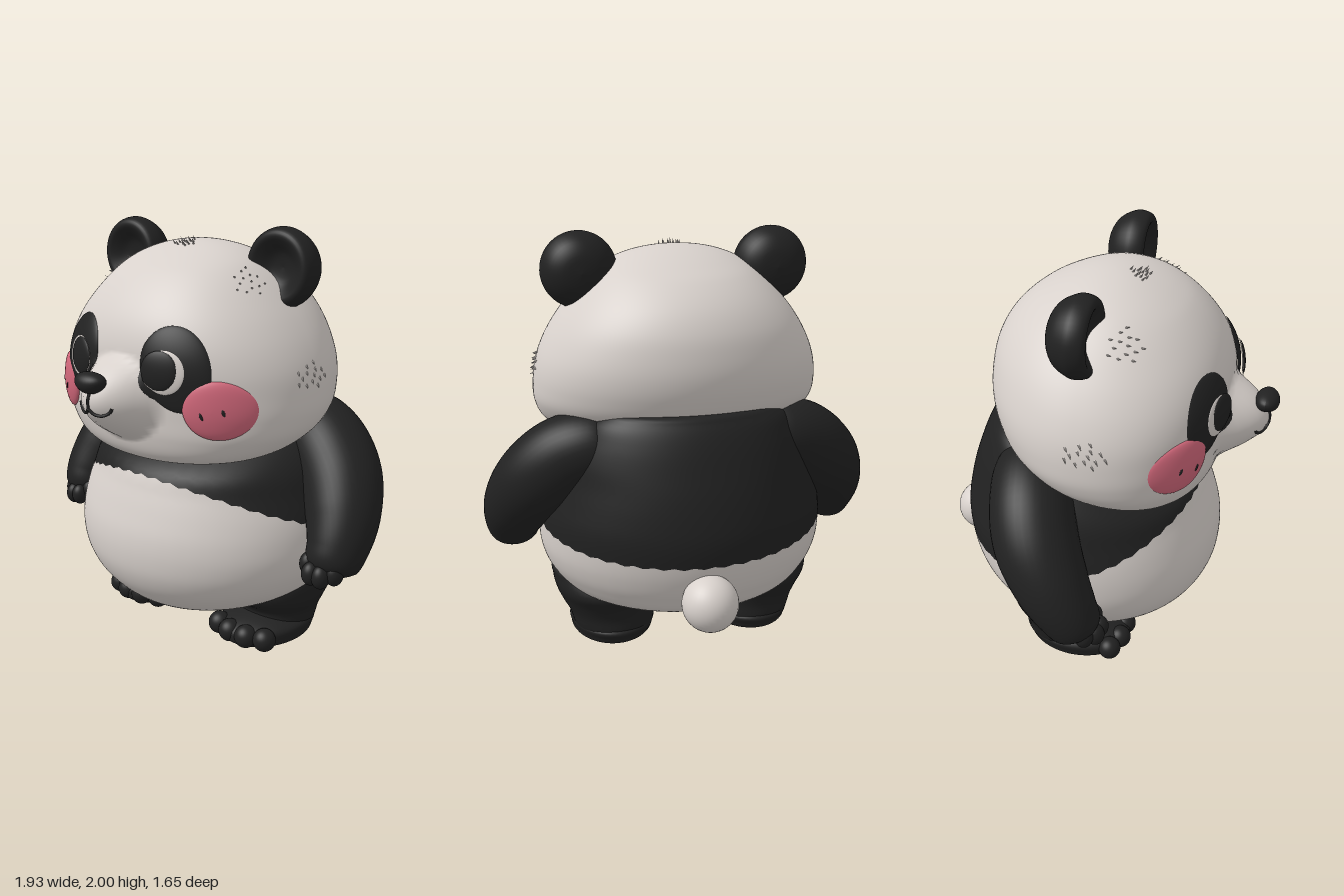
import * as THREE from 'three';

const mat = (name, color) => Object.assign(new THREE.MeshStandardMaterial({ color }), { name });
const PI = Math.PI;

// Smooth closed-loop grid: f(u, v), u goes round, v goes along; triangles face du x dv
function grid(nu, nv, f) {
  const pos = [], idx = [];
  for (let j = 0; j <= nv; j++)
    for (let i = 0; i < nu; i++) pos.push(...f((i / nu) * 2 * PI, j / nv).toArray());
  for (let j = 0; j < nv; j++)
    for (let i = 0; i < nu; i++) {
      const a = j * nu + i, b = j * nu + ((i + 1) % nu);
      idx.push(a, b, b + nu, a, b + nu, a + nu);
    }
  const g = new THREE.BufferGeometry();
  g.setAttribute('position', new THREE.Float32BufferAttribute(pos, 3));
  g.setIndex(idx);
  g.computeVertexNormals();
  return g;
}

// Mirror a grid function across x while keeping faces outward
const side = (s, f) => (u, v) => { const p = f(s * u, v); p.x *= s; return p; };

// Smooth sections from rows [y, halfWidth, zFront, zBack, xCentre], rounded at both ends
function sections(rows) {
  const lo = rows[0][0], hi = rows[rows.length - 1][0];
  const phi = y => Math.acos(THREE.MathUtils.clamp(1 - 2 * (y - lo) / (hi - lo), -1, 1));
  const keys = rows.map(r => phi(r[0]));
  const slope = (i, c) => {
    const a = Math.max(i - 1, 0), b = Math.min(i + 1, rows.length - 1);
    return ((rows[b][c] ?? 0) - (rows[a][c] ?? 0)) / (keys[b] - keys[a]);
  };
  const at = p => {
    let i = 0;
    while (i < keys.length - 2 && p > keys[i + 1]) i++;
    const d = keys[i + 1] - keys[i], t = (p - keys[i]) / d, t2 = t * t, t3 = t2 * t;
    const [w, zf, zb, cx] = [1, 2, 3, 4].map(c =>
      (2 * t3 - 3 * t2 + 1) * (rows[i][c] ?? 0) + (t3 - 2 * t2 + t) * d * slope(i, c) +
      (3 * t2 - 2 * t3) * (rows[i + 1][c] ?? 0) + (t3 - t2) * d * slope(i + 1, c));
    return { y: lo + (hi - lo) * (1 - Math.cos(p)) / 2, w: Math.max(w, 0), c: (zf + zb) / 2, b: Math.max((zf - zb) / 2, 0), cx };
  };
  const point = (u, p) => {
    const s = at(p);
    return new THREE.Vector3(s.cx + s.w * Math.sin(u), s.y, s.c + s.b * Math.cos(u));
  };
  return { phi, at, point };
}

// Tapered limb along a path of [x, y, z, radius]
function limb(pts) {
  const path = new THREE.CatmullRomCurve3(pts.map(p => new THREE.Vector3(p[0], p[1], p[2])));
  const rad = new THREE.CatmullRomCurve3(pts.map((p, i) => new THREE.Vector3(p[3], i * 0.1, 0)));
  return (u, v) => {
    const T = path.getTangent(v), A = T.clone().cross(new THREE.Vector3(0, 0, 1)).normalize();
    const B = T.clone().cross(A), r = Math.max(rad.getPoint(v).x, 0);
    return path.getPoint(v).addScaledVector(A, r * Math.cos(u)).addScaledVector(B, r * Math.sin(u));
  };
}

const headS = sections([
  [.955, 0, .36, .36], [.965, .3, .5, .1], [1, .5, .55, -.1], [1.1, .645, .585, -.32], [1.2, .69, .595, -.44],
  [1.3, .692, .603, -.49], [1.4, .675, .61, -.51], [1.5, .635, .6, -.505], [1.6, .575, .565, -.48],
  [1.7, .495, .5, -.42], [1.8, .395, .4, -.31], [1.85, .325, .32, -.22], [1.9, .2, .2, -.1], [1.925, 0, .05, .05]]);
const bodyS = sections([
  [.155, 0, .12, .12], [.165, .2, .32, -.06], [.2, .38, .42, -.26], [.3, .58, .53, -.54], [.4, .66, .58, -.62],
  [.5, .695, .595, -.66], [.6, .7, .588, -.68], [.7, .69, .56, -.685], [.8, .66, .525, -.67], [.9, .63, .48, -.645],
  [1, .59, .33, -.61], [1.1, .52, .14, -.57], [1.2, .43, -.03, -.51], [1.235, .3, -.14, -.46], [1.24, 0, -.3, -.3]]);
const legS = sections([
  [.01, 0, -.08, -.08, .36], [.03, .17, .08, -.27, .355], [.08, .2, .1, -.3, .355], [.15, .21, .09, -.3, .365],
  [.22, .235, .17, -.32, .38], [.29, .25, .185, -.355, .39], [.35, .245, .14, -.32, .405], [.4, .22, .06, -.26, .425],
  [.45, 0, -.1, -.1, .43]]);
const footS = sections([
  [0, 0, 0, 0, .355], [.008, .17, .19, -.24, .355], [.05, .208, .235, -.3, .355], [.1, .195, .2, -.29, .355], [.14, 0, 0, 0, .355]]);

// Front of the head is slightly boxy, with a smooth muzzle rising out of it
const N = 2.2;
const muzzle = (x, y) => .19 * Math.max(0, 1 - (x / .22) ** 2 - ((y - 1.26) / .2) ** 2) ** 1.2;
function headPoint(u, p) {
  const s = headS.at(p), si = Math.sin(u), co = Math.cos(u), k = co > 0 ? 2 / N : 1;
  const x = s.w * Math.sign(si) * Math.abs(si) ** k;
  const z = s.c + s.b * Math.sign(co) * Math.abs(co) ** k + (co > 0 ? muzzle(x, s.y) : 0);
  return new THREE.Vector3(x, s.y, z);
}
function faceZ(x, y) {
  const s = headS.at(headS.phi(y));
  return s.c + s.b * Math.max(0, 1 - Math.abs(x / s.w) ** N) ** (1 / N) + muzzle(x, y);
}

// Slightly domed oval lying on the face
const oval = (cx, cy, rx, ry, tilt, base, dome) => (u, v) => {
  const r = Math.cos(v * PI / 2), a = rx * r * Math.cos(u), b = ry * r * Math.sin(u);
  const x = cx + a * Math.cos(tilt) - b * Math.sin(tilt), y = cy + a * Math.sin(tilt) + b * Math.cos(tilt);
  return new THREE.Vector3(x, y, faceZ(x, y) + base + dome * Math.sin(v * PI / 2));
};

export function createModel() {
  const model = new THREE.Group();
  model.name = 'panda';
  const white = mat('warm white fur', 0xd8d1cc), black = mat('black fur', 0x212121), pink = mat('pink cheeks', 0xd2687b);
  const add = (name, geo, m, x = 0, y = 0, z = 0) => {
    const mesh = new THREE.Mesh(geo, m);
    mesh.name = name;
    mesh.position.set(x, y, z);
    model.add(mesh);
    return mesh;
  };
  const ball = (name, m, x, y, z, rx, ry = rx, rz = rx) =>
    add(name, new THREE.SphereGeometry(1, 32, 24), m, x, y, z).scale.set(rx, ry, rz);

  // Head
  add('head', grid(128, 90, (u, v) => headPoint(u, v * PI)), white);

  // Body split along the fuzzy lower edge of the black shoulders
  const edge = u => {
    const c = Math.cos(u);
    return bodyS.phi(.645 + .06 * c + .17 * Math.max(c, 0) ** 1.4 + .005 * Math.sin(u * 48));
  };
  add('belly', grid(192, 40, (u, v) => bodyS.point(u, v * edge(u))), white);
  add('shoulders', grid(192, 32, (u, v) => bodyS.point(u, edge(u) + (PI - edge(u)) * v)), black);
  ball('tail', white, 0, .42, -.695, .13);

  // Nose and mouth
  const nose = new THREE.SphereGeometry(1, 32, 24), np = nose.attributes.position;
  for (let i = 0; i < np.count; i++) np.setX(i, np.getX(i) * (1 + .25 * np.getY(i)));
  nose.computeVertexNormals();
  add('nose', nose, black, 0, 1.358, .772).scale.set(.08, .048, .057);
  const stroke = (name, pts) => add(name, new THREE.TubeGeometry(new THREE.CatmullRomCurve3(
    pts.map(([x, y]) => new THREE.Vector3(x, y, faceZ(x, y) + .002))), 20, .007, 8), black);
  stroke('mouthCentre', [[0, 1.33], [0, 1.29], [0, 1.245]]);

  for (const s of [1, -1]) {
    const n = s > 0 ? 'left' : 'right';
    const disc = (name, m, ...o) => add(n + name, grid(48, 12, side(s, (u, v) => oval(...o)(u, v))), m);

    // Face markings
    disc('EyePatch', black, .293, 1.42, .15, .19, .42, .003, .02);
    disc('Eye', white, .262, 1.41, .096, .096, 0, .024, .01);
    disc('Pupil', black, .246, 1.418, .083, .086, 0, .03, .014);
    disc('Cheek', pink, .467, 1.255, .134, .13, 0, .002, .035);
    disc('CheekFreckleInner', black, .43, 1.235, .006, .017, .3, .034, .006);
    disc('CheekFreckleOuter', black, .51, 1.255, .006, .017, .3, .033, .006);
    stroke(n + 'Mouth', [[0, 1.245], [s * .025, 1.222], [s * .06, 1.218], [s * .09, 1.235], [s * .1, 1.255]]);

    // Ear: rounded back and dished front
    const ear = new THREE.LatheGeometry(new THREE.SplineCurve([[0, -.11], [.08, -.098], [.14, -.06], [.174, 0],
      [.179, .04], [.166, .08], [.14, .092], [.11, .075], [.06, .04], [0, .03]].map(p => new THREE.Vector2(...p))).getPoints(36)
      .map(p => new THREE.Vector2(Math.max(p.x, 0), p.y)), 48);
    add(n + 'Ear', ear.rotateX(PI / 2), black, s * .462, 1.821, 0);

    // Arm and fingers
    add(n + 'Arm', grid(40, 48, side(s, limb([[.3, 1.07, -.26, 0], [.4, 1.06, -.25, .15], [.56, 1.0, -.19, .19],
      [.7, .87, -.12, .195], [.79, .72, -.02, .172], [.82, .6, .06, .142], [.812, .52, .1, .115], [.805, .455, .12, 0]]))), black);
    for (const [x, y, z] of [[.735, .53, .155], [.775, .505, .195], [.825, .5, .19], [.87, .515, .15]])
      ball(n + 'Finger', black, s * x, y, z, .042, .055, .045);

    // Leg, foot and toes
    add(n + 'Leg', grid(56, 36, side(s, (u, v) => legS.point(u, v * PI))), black);
    add(n + 'Foot', grid(56, 24, side(s, (u, v) => footS.point(u, v * PI))), black);
    for (const [dx, z] of [[-.14, .165], [-.05, .195], [.05, .195], [.14, .165]])
      ball(n + 'Toe', black, s * (.355 + dx), .062, z, .056);
  }

  // Small fur tufts on the head: [angle, height, angle spread, height spread, sweep direction]
  const core = new THREE.Vector3(0, 1.4, .05), up = new THREE.Vector3(0, 1, 0);
  const tuft = new THREE.ConeGeometry(.009, .05, 6);
  for (const [u0, y0, du, dy, sweep] of [[0, 1.91, .3, .012, .6], [1.5, 1.38, .16, .06, -.8], [-1.5, 1.38, .16, .06, -.8],
    [1.2, 1.77, .2, .06, -.3], [-1.2, 1.77, .2, .06, -.3]])
    for (let i = 0; i < 14; i++) {
      const a = i * 2.4, r = Math.sqrt((i + .5) / 14);
      const p = headPoint(u0 + du * r * Math.cos(a), headS.phi(y0 + dy * r * Math.sin(a)));
      const dir = p.clone().sub(core).normalize().add(new THREE.Vector3(0, sweep * .6, .7)).normalize();
      add('furTuft', tuft, white, p.x, p.y, p.z).quaternion.setFromUnitVectors(up, dir);
    }
  return model;
}
